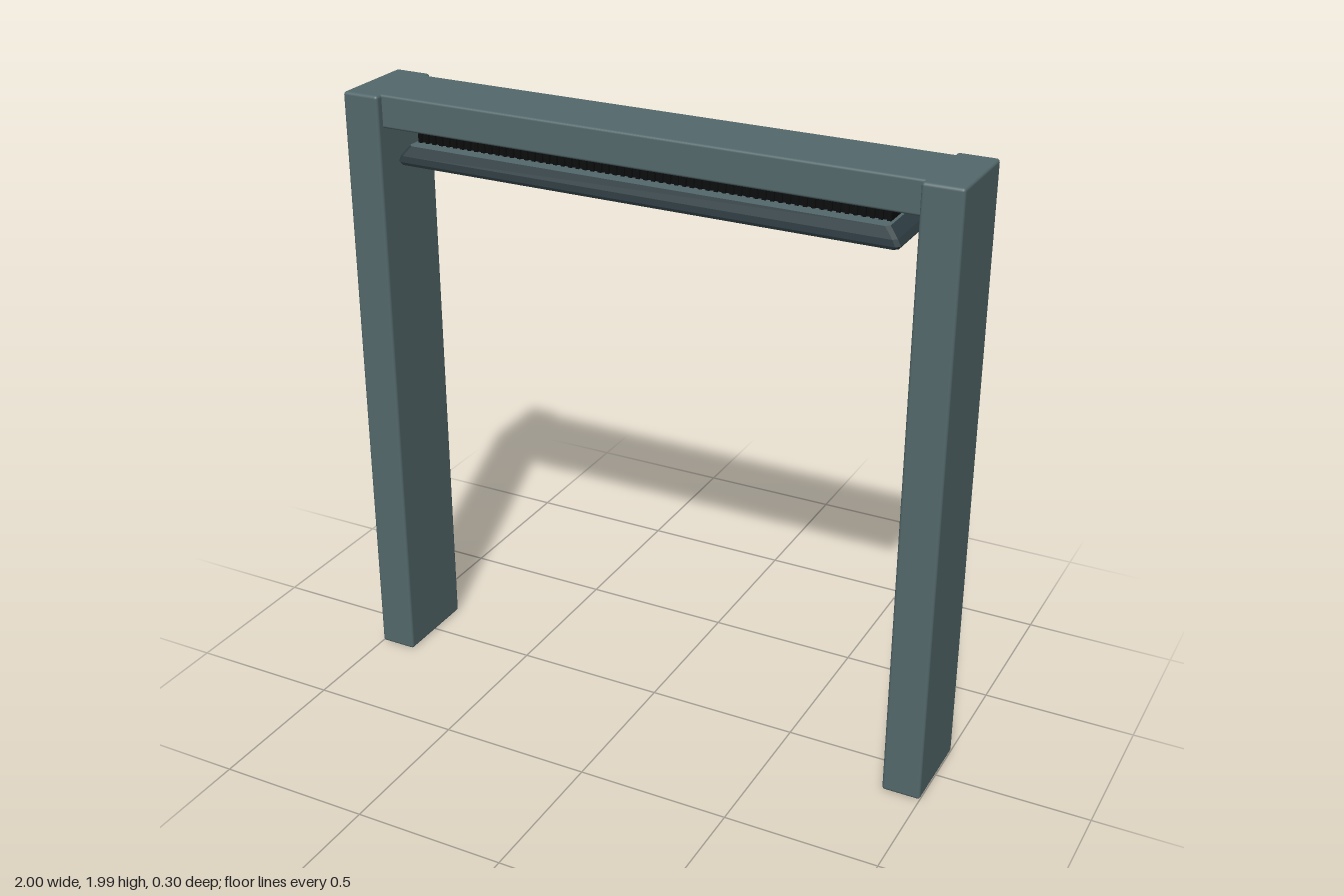
import * as THREE from 'three';
import { RoundedBoxGeometry } from 'three/addons/geometries/RoundedBoxGeometry.js';
import { mergeGeometries } from 'three/addons/utils/BufferGeometryUtils.js';

// Chamfered rectangle outline at height y, as eight points
function outline(hx, hz, y, c = 0.012) {
  return [
    [hx, y, hz - c], [hx, y, c - hz], [hx - c, y, -hz], [c - hx, y, -hz],
    [-hx, y, c - hz], [-hx, y, hz - c], [c - hx, y, hz], [hx - c, y, hz],
  ];
}

// Joins successive outlines [halfX, halfZ, y] with flat bands
function loft(levels) {
  const pos = [];
  for (let i = 0; i < levels.length - 1; i++) {
    const a = outline(...levels[i]), b = outline(...levels[i + 1]);
    for (let j = 0; j < 8; j++) {
      const k = (j + 1) % 8;
      pos.push(...a[j], ...a[k], ...b[k], ...a[j], ...b[k], ...b[j]);
    }
  }
  const g = new THREE.BufferGeometry();
  g.setAttribute('position', new THREE.Float32BufferAttribute(pos, 3));
  g.computeVertexNormals();
  return g;
}

export function createModel() {
  const group = new THREE.Group();
  const material = (name, color) => {
    const m = new THREE.MeshStandardMaterial({ color });
    m.name = name;
    return m;
  };
  const slate = material('slate grey', 0x53686b);
  const dark = material('dark slate', 0x2f3e43);
  const black = material('black', 0x0b0c0d);

  function add(name, geometry, mat, x = 0, y = 0, z = 0) {
    const mesh = new THREE.Mesh(geometry, mat);
    mesh.name = name;
    mesh.position.set(x, y, z);
    group.add(mesh);
    return mesh;
  }

  // Posts and crossbeam
  for (const s of [-1, 1]) {
    add(s > 0 ? 'leftPost' : 'rightPost',
      new RoundedBoxGeometry(0.125, 1.985, 0.296, 3, 0.01), slate, s * 0.9375, 0.9925, 0);
  }
  add('crossbeam', new RoundedBoxGeometry(1.79, 0.106, 0.246, 3, 0.008), slate, 0, 1.932, 0);

  // Ribbed black body between the beam and the tray
  const ribs = [new THREE.BoxGeometry(1.54, 0.1, 0.15)];
  for (let i = 0; i < 62; i++) {
    const rib = new THREE.BoxGeometry(0.012, 0.1, 0.166);
    rib.translate(-0.769 + i * 1.538 / 61, 0, 0);
    ribs.push(rib);
  }
  add('ribbedBody', mergeGeometries(ribs), black, 0, 1.838, 0);

  // Flared tray with a flat top rim and a recessed underside
  add('trayWall', loft([
    [0.815, 0.132, 1.775], [0.822, 0.137, 1.785], [0.812, 0.136, 1.805], [0.785, 0.125, 1.837],
  ]), dark);
  add('trayRim', loft([[0.785, 0.125, 1.837], [0.76, 0.07, 1.837]]), slate);
  add('trayLip', loft([
    [0.785, 0.106, 1.797], [0.79, 0.11, 1.775], [0.815, 0.132, 1.775],
  ]), dark);
  add('underPanel', new THREE.BoxGeometry(1.58, 0.008, 0.222), black, 0, 1.797, 0);

  // Small brackets under the tray
  for (const x of [-0.515, -0.18, 0.195, 0.525]) {
    add('bracketBase', new THREE.BoxGeometry(0.056, 0.024, 0.05), slate, x, 1.782, 0);
    add('bracketTip', new THREE.BoxGeometry(0.04, 0.012, 0.075), slate, x, 1.766, 0);
  }
  return group;
}
